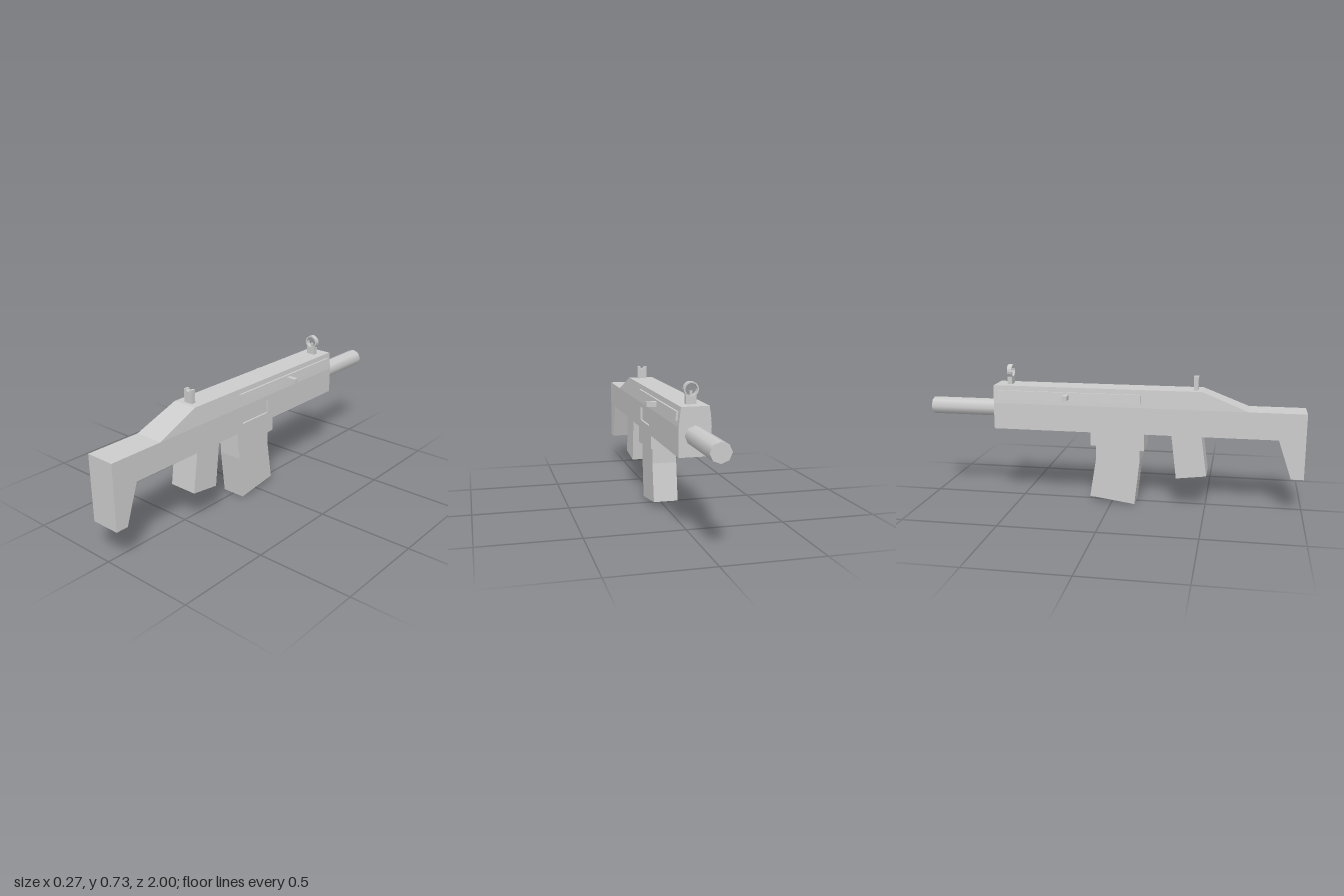
import * as THREE from 'three';

const material = new THREE.MeshStandardMaterial({ color: 0xcccccc, flatShading: true });
const smooth = new THREE.MeshStandardMaterial({ color: 0xcccccc });
const HALF = 0.078; // half width of the body
const TOP_HALF = 0.068; // half width at the top edge
const BEVEL_Y = 0.53, TOP_Y = 0.624;

const toShape = (pts) => new THREE.Shape(pts.map(([a, b]) => new THREE.Vector2(a, b)));

// Side profile given as [z, y], extruded across x from x0 to x1
function sideGeometry(pts, x0, x1, hole) {
  const shape = toShape(pts);
  if (hole) shape.holes.push(toShape(hole));
  const g = new THREE.ExtrudeGeometry(shape, { depth: x1 - x0, bevelEnabled: false });
  return g.rotateY(-Math.PI / 2).translate(x1, 0, 0);
}

// Front shape in x, y, extruded along z from z0 to z1
function frontGeometry(shape, z0, z1) {
  const g = new THREE.ExtrudeGeometry(shape, { depth: z1 - z0, bevelEnabled: false, curveSegments: 8 });
  return g.translate(0, 0, z0);
}

export function createModel() {
  const model = new THREE.Group();
  const add = (name, geometry, mat = material) => {
    const mesh = new THREE.Mesh(geometry, mat);
    mesh.name = name;
    model.add(mesh);
    return mesh;
  };

  // Body and stock, with a thin left skin holding the recessed port
  const lower = [[1, BEVEL_Y], [-0.635, BEVEL_Y], [-0.635, 0.39], [0.865, 0.39], [0.935, 0.187], [1, 0.187]];
  const port = [[0.135, 0.433], [-0.065, 0.433], [-0.065, 0.505], [0.135, 0.505]];
  const skin = HALF - 0.01;
  add('bodyAndStock', sideGeometry(lower, -HALF, skin));
  add('bodySideWithPort', sideGeometry(lower, skin, HALF, port));

  // Upper body, narrowing towards the top
  const upper = sideGeometry([[0.71, BEVEL_Y], [0.472, TOP_Y], [-0.635, TOP_Y], [-0.635, BEVEL_Y]], -HALF, HALF);
  const p = upper.attributes.position;
  for (let i = 0; i < p.count; i++) {
    if (p.getY(i) > BEVEL_Y + 0.01) p.setX(i, Math.sign(p.getX(i)) * TOP_HALF);
  }
  upper.computeVertexNormals();
  add('upperBody', upper);

  // Grip, magazine well and magazine
  add('grip', sideGeometry([[0.475, 0.392], [0.505, 0.18], [0.347, 0.16], [0.319, 0.392]], -HALF, HALF));
  add('magazineWell', sideGeometry([[0.177, 0.392], [0.177, 0.3], [-0.108, 0.32], [-0.108, 0.392]], -HALF, HALF));
  add('magazine', sideGeometry([
    [0.152, 0.33], [0.152, 0.235], [0.126, 0], [-0.115, 0.033], [-0.083, 0.235], [-0.083, 0.33],
  ], -0.065, 0.065));

  // Barrel, slightly flattened
  const barrel = new THREE.CylinderGeometry(0.05, 0.05, 0.385, 8);
  barrel.rotateX(-Math.PI / 2).scale(1, 0.94, 1).translate(0, 0.49, -0.8075);
  add('barrel', barrel, smooth);

  // Side rails and charging handles
  for (const s of [1, -1]) {
    const section = toShape([[s * 0.07, 0.556], [s * 0.086, 0.556], [s * 0.081, 0.599], [s * 0.066, 0.599]]);
    add(s > 0 ? 'leftRail' : 'rightRail', frontGeometry(section, -0.605, 0.155));
    const handle = new THREE.BoxGeometry(0.065, 0.025, 0.025).translate(s * 0.1025, 0.577, -0.235);
    add(s > 0 ? 'leftHandle' : 'rightHandle', handle);
  }

  // Rear sight with a round notch
  const rear = new THREE.Shape();
  rear.moveTo(-0.025, 0.615);
  rear.lineTo(0.025, 0.615);
  rear.lineTo(0.025, 0.693);
  rear.lineTo(0.012, 0.693);
  rear.absarc(0, 0.693, 0.012, 0, Math.PI, true);
  rear.lineTo(-0.025, 0.693);
  add('rearSight', frontGeometry(rear, 0.425, 0.449));

  // Front sight: base, pin and ring
  add('frontSightBase', new THREE.BoxGeometry(0.05, 0.05, 0.025).translate(0, 0.64, -0.558));
  add('frontSightPin', new THREE.BoxGeometry(0.012, 0.03, 0.012).translate(0, 0.67, -0.558));
  const ring = new THREE.Shape().absarc(0, 0.693, 0.036, 0, Math.PI * 2, false);
  ring.holes.push(new THREE.Path().absarc(0, 0.693, 0.029, 0, Math.PI * 2, true));
  add('frontSightRing', frontGeometry(ring, -0.57, -0.545));

  return model;
}
